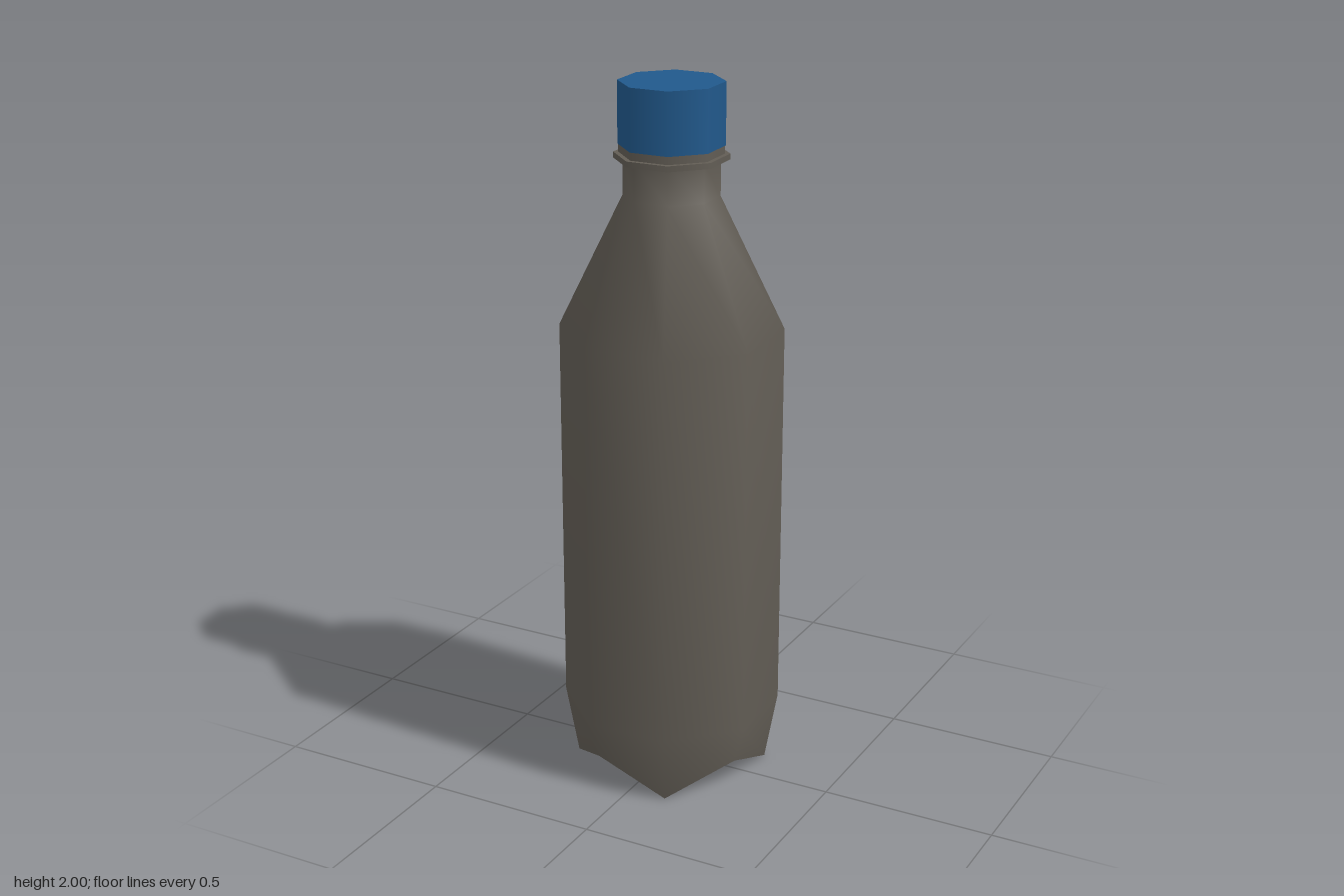
import * as THREE from 'three';

const SIDES = 8;
const TURN = THREE.MathUtils.degToRad(24);
const STEP = (Math.PI * 2) / SIDES;
const FOOT_R = 0.274, NOTCH_Y = 0.085;

const plastic = new THREE.MeshStandardMaterial({ color: 0x625d55 });
plastic.name = 'smoky grey plastic';
const blue = new THREE.MeshStandardMaterial({ color: 0x21598c });
blue.name = 'blue cap plastic';

// Eight-sided turned part from [radius, height] pairs
function turned(name, profile, material) {
  const points = profile.map(([r, y]) => new THREE.Vector2(r, y));
  const mesh = new THREE.Mesh(new THREE.LatheGeometry(points, SIDES, TURN), material);
  mesh.name = name;
  return mesh;
}

// Underside: four feet with radial ridges and raised notches between them
function makeBase() {
  const at = (i, r, y) => {
    const a = TURN + i * STEP;
    return [r * Math.sin(a), y, r * Math.cos(a)];
  };
  const centre = [0, 0.06, 0];
  const corners = [];
  for (let i = 0; i < SIDES; i += 2) {
    const notch = at(i + 1, FOOT_R, NOTCH_Y);
    const rim = [at(i, FOOT_R, 0), at(i, 0.135, 0), centre,
      at(i + 2, 0.135, 0), at(i + 2, FOOT_R, 0)];
    for (let j = 0; j < rim.length - 1; j++) corners.push(...rim[j], ...rim[j + 1], ...notch);
  }
  const geometry = new THREE.BufferGeometry();
  geometry.setAttribute('position', new THREE.Float32BufferAttribute(corners, 3));
  geometry.computeVertexNormals();
  const mesh = new THREE.Mesh(geometry, plastic);
  mesh.name = 'footedBase';
  return mesh;
}

export function createModel() {
  const bottle = new THREE.Group();
  bottle.name = 'bottle';

  // Body, shoulder and neck
  const profile = [[FOOT_R, 0], [0.31, 0.2], [0.31, 1.32], [0.132, 1.69], [0.132, 1.8]];
  const body = turned('body', profile, plastic);
  // Lift every second corner of the bottom rim into a notch
  const pos = body.geometry.attributes.position;
  for (let i = 1; i < SIDES; i += 2) pos.setY(i * profile.length, NOTCH_Y);
  bottle.add(body, makeBase());

  // Flange under the cap, built from flat bands so its edges stay crisp
  const flange = new THREE.Group();
  flange.name = 'neckFlange';
  const ring = [[0.132, 1.79], [0.157, 1.79], [0.157, 1.806], [0.143, 1.806], [0.143, 1.83]];
  for (let i = 0; i < ring.length - 1; i++) {
    flange.add(turned('flangeBand', [ring[i], ring[i + 1]], plastic));
  }
  bottle.add(flange);

  // Screw cap
  const cap = new THREE.Group();
  cap.name = 'cap';
  cap.add(
    turned('capUnderside', [[0.13, 1.828], [0.145, 1.828]], blue),
    turned('capSide', [[0.145, 1.828], [0.145, 2]], blue),
    turned('capTop', [[0.145, 2], [0, 2]], blue),
  );
  bottle.add(cap);
  return bottle;
}
